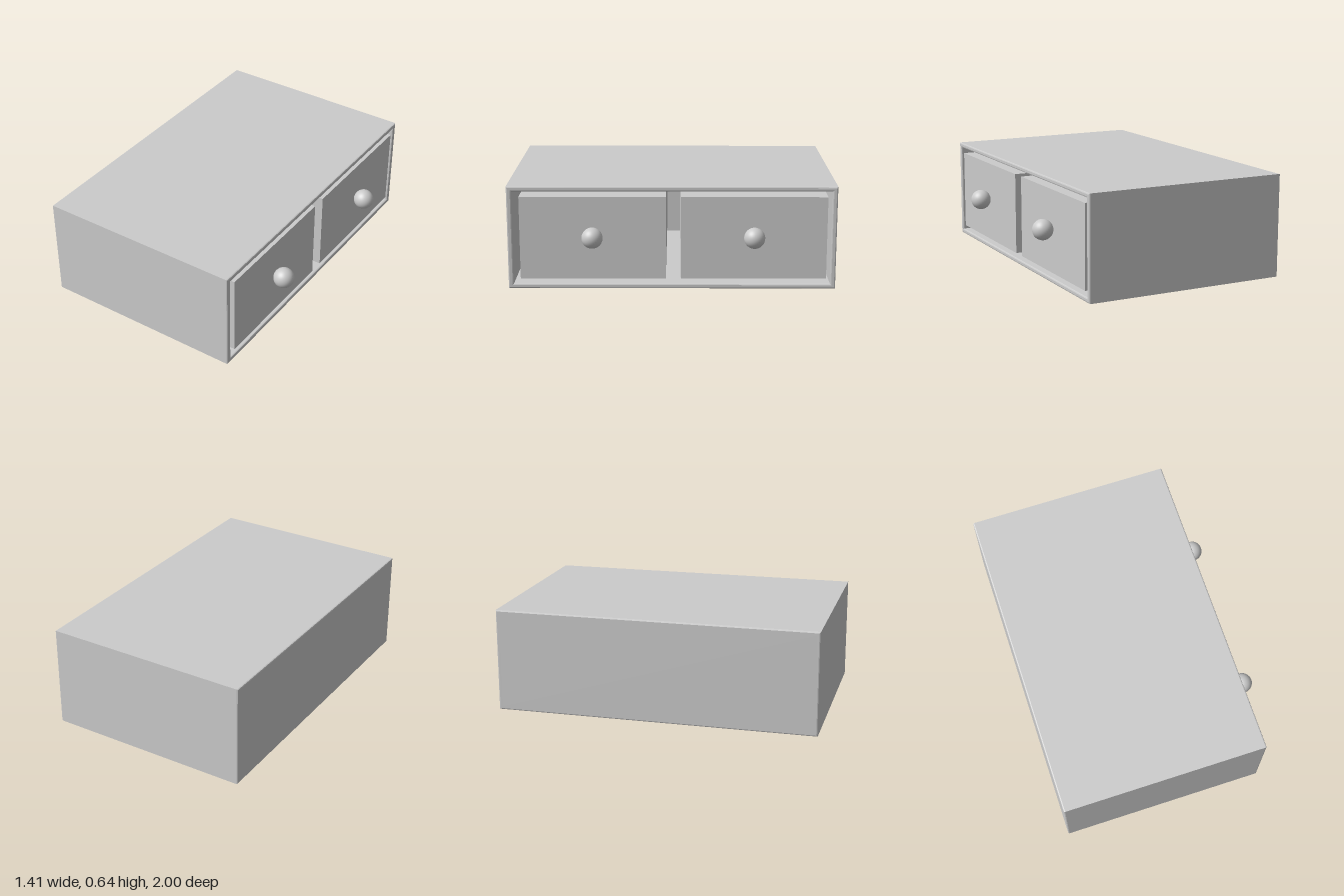
import * as THREE from 'three';

const material = new THREE.MeshStandardMaterial({ color: 0xcccccc });
const BACK = -0.705, FRONT = 0.585, HEIGHT = 0.64, BEVEL = 0.008;

function addPart(parent, name, geometry, x = 0, y = 0, z = 0) {
  const mesh = new THREE.Mesh(geometry, material);
  mesh.name = name;
  mesh.position.set(x, y, z);
  parent.add(mesh);
  return mesh;
}

function rectangle(PathType, halfWidth, bottom, top) {
  return new PathType([
    new THREE.Vector2(-halfWidth, bottom), new THREE.Vector2(halfWidth, bottom),
    new THREE.Vector2(halfWidth, top), new THREE.Vector2(-halfWidth, top),
  ]);
}

export function createModel() {
  const model = new THREE.Group();
  model.name = 'drawerCabinet';

  // Hollow case with softened rims, open towards +x
  const outline = rectangle(THREE.Shape, 1, 0, HEIGHT);
  outline.holes.push(rectangle(THREE.Path, 0.968, 0.03, 0.61));
  const shell = new THREE.ExtrudeGeometry(outline, {
    depth: FRONT - BACK - 2 * BEVEL, bevelEnabled: true, bevelSegments: 2,
    bevelThickness: BEVEL, bevelSize: BEVEL, bevelOffset: -BEVEL,
  });
  shell.rotateY(Math.PI / 2);
  addPart(model, 'caseShell', shell, BACK + BEVEL);

  // Panel closing the back of the case
  addPart(model, 'backPanel', new THREE.BoxGeometry(0.035, 0.6, 1.956), BACK + 0.0175, 0.32, 0);

  // Two drawers side by side, each with a round knob
  const bottom = 0.064, top = 0.576, drawerFront = 0.583, drawerBack = -0.665;
  for (const [name, z] of [['leftDrawer', 0.481], ['rightDrawer', -0.498]]) {
    const drawer = new THREE.Group();
    drawer.name = name;
    drawer.position.z = z;
    addPart(drawer, 'drawerBox',
      new THREE.BoxGeometry(drawerFront - drawerBack, top - bottom, 0.888),
      (drawerFront + drawerBack) / 2, (top + bottom) / 2, 0);
    addPart(drawer, 'knob', new THREE.SphereGeometry(0.064, 32, 20), 0.641, 0.336, 0);
    model.add(drawer);
  }
  return model;
}
